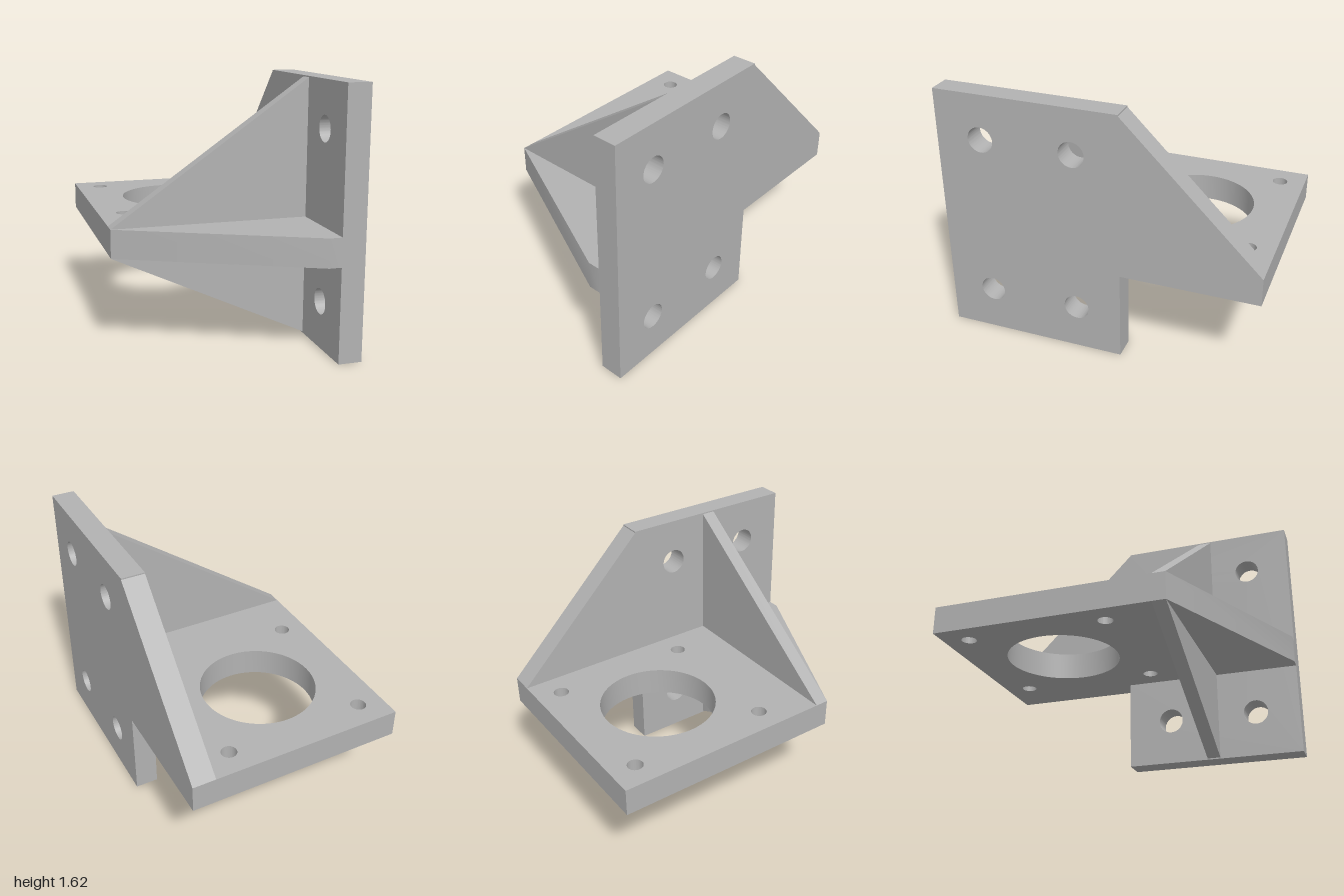
import * as THREE from 'three';
import { toCreasedNormals } from 'three/addons/utils/BufferGeometryUtils.js';

// Extruded plate from an outline and round holes [x, y, radius]
function plateGeometry(points, holes, depth) {
  const shape = new THREE.Shape(points.map(([x, y]) => new THREE.Vector2(x, y)));
  for (const [x, y, r] of holes) {
    shape.holes.push(new THREE.Path().absarc(x, y, r, 0, Math.PI * 2, true));
  }
  const geometry = new THREE.ExtrudeGeometry(shape, { depth, bevelEnabled: false, curveSegments: 40 });
  return toCreasedNormals(geometry, 0.5);
}

export function createModel() {
  const group = new THREE.Group();
  const grey = new THREE.MeshStandardMaterial({ color: 0xb2b2b2 });
  grey.name = 'plain grey';

  function add(name, geometry) {
    const mesh = new THREE.Mesh(geometry, grey);
    mesh.name = name;
    group.add(mesh);
  }

  const outer = 0.68, inner = 0.535; // mounting plate faces
  const low = 0.58, high = 0.755; // shelf bottom and top
  const height = 1.615;

  // Upright mounting plate with rear arm, outline in (z, y)
  const boltHoles = [];
  for (const z of [0.715, 0.14]) for (const y of [0.29, 1.33]) boltHoles.push([z, y, 0.08]);
  const mount = plateGeometry([
    [1, 0], [1, height], [-0.147, height], [-0.147, 1.607],
    [-1, high], [-1, low], [-0.147, low], [-0.147, 0],
  ], boltHoles, outer - inner);
  mount.rotateY(-Math.PI / 2).translate(outer, 0, 0);
  add('mountingPlate', mount);

  // Horizontal shelf with a large bore and four screw holes, outline in (x, -z)
  const shelfHoles = [[-0.073, 0.397, 0.36]];
  for (const x of [-0.52, 0.37]) for (const z of [-0.84, 0.05]) shelfHoles.push([x, -z, 0.048]);
  const shelf = plateGeometry([
    [-outer, 1], [-outer, -0.465], [0.46, -1], [inner, -1], [inner, 1],
  ], shelfHoles, high - low);
  shelf.rotateX(-Math.PI / 2).translate(0, low, 0);
  add('shelf', shelf);

  // Triangular ribs above and below the shelf, outlines in (x, y)
  const ribs = {
    upperRib: [[-outer, high], [inner, high], [inner, 1.607]],
    lowerRib: [[-outer, low], [inner, 0.008], [inner, low]],
  };
  for (const [name, points] of Object.entries(ribs)) {
    add(name, plateGeometry(points, [], 0.085).translate(0, 0, 0.38));
  }

  return group;
}
